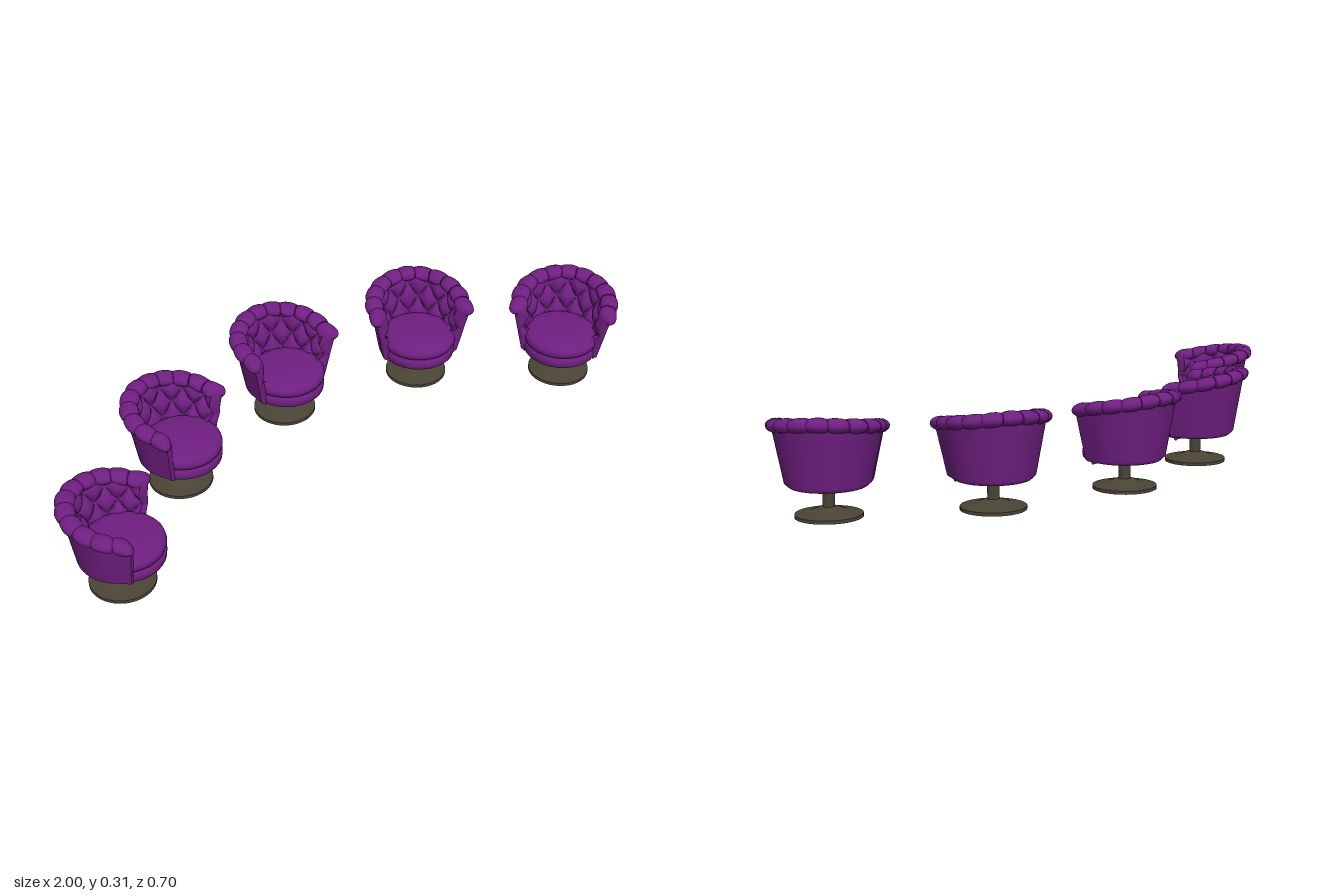
import * as THREE from 'three';
import { ParametricGeometry } from 'three/addons/geometries/ParametricGeometry.js';

const PHI = THREE.MathUtils.degToRad(112); // half sweep of the tub, measured from the back
const lerp = THREE.MathUtils.lerp;

// Point on the tub plan: the arms straighten out towards the front
function place(target, phi, r, y) {
  const over = Math.max(0, Math.abs(phi) - Math.PI / 2) / 0.384;
  const k = 1 + 0.07 * over * over;
  target.set(r * k * Math.sin(phi), y, -r * k * Math.cos(phi));
}

const rimY = (phi) => 0.285 - 0.037 * Math.pow(Math.abs(phi) / PHI, 1.5);

// Radii of the outer wall and of the inner wall before tufting, v = 0 bottom to 1 rim
const outerR = (v) => 0.12 + 0.033 * v - 0.01 * Math.pow(Math.max(0, 1 - v / 0.06), 2);
const innerR = (v) => lerp(0.108, 0.13, v);

// Diamond tufting pattern, 0 in the creases and 1 on the cushions
function tuft(phi, v) {
  const p = (phi / PHI) * Math.PI * 3.5, q = v * Math.PI * 1.75;
  return Math.pow(Math.abs(Math.cos(p + q) * Math.cos(p - q)), 0.5);
}

function outerWall() {
  return new ParametricGeometry((u, v, t) => {
    const phi = lerp(PHI, -PHI, u);
    place(t, phi, outerR(v), lerp(0.09, rimY(phi), v));
  }, 48, 16);
}

function tuftedWall() {
  return new ParametricGeometry((u, v, t) => {
    const phi = lerp(-PHI, PHI, u);
    place(t, phi, innerR(v) - 0.02 * tuft(phi, v), lerp(0.11, rimY(phi), v));
  }, 112, 32);
}

// Padded front face of one arm
function armFront(side) {
  return new ParametricGeometry((u, v, t) => {
    const w = side > 0 ? u : 1 - u;
    const phi = side * PHI;
    const r = lerp(innerR(v) - 0.02 * tuft(phi, v), outerR(v), w);
    place(t, phi + side * 0.07 * Math.sin(Math.PI * w), r, lerp(0.09, rimY(phi), v));
  }, 8, 20);
}

// Scalloped roll along the top edge
function rimRoll() {
  const end = PHI + 0.07, lobes = 11;
  return new ParametricGeometry((u, v, t) => {
    const phi = lerp(end, -end, u), a = v * Math.PI * 2;
    const w = Math.min(1, Math.min(u, 1 - u) / 0.035);
    const cap = Math.max(0.02, Math.sqrt(1 - (1 - w) * (1 - w)));
    const lobe = 0.8 + 0.2 * Math.pow(Math.abs(Math.sin(u * lobes * Math.PI)), 0.6);
    const s = cap * (w < 1 ? Math.max(lobe, 0.93) : lobe);
    place(t, phi, 0.14 + 0.029 * s * Math.cos(a), rimY(phi) + 0.021 * s * Math.sin(a));
  }, 154, 16);
}

function lathe(points, segments = 40) {
  return new THREE.LatheGeometry(points.map(([r, y]) => new THREE.Vector2(r, y)), segments);
}

function buildParts(purple, bronze) {
  const lever = new THREE.Vector3(0.1, 0.085, 0.037);
  const rod = new THREE.CylinderGeometry(0.0028, 0.0028, Math.hypot(lever.x, lever.z), 8);
  rod.rotateZ(Math.PI / 2);
  rod.rotateY(-Math.atan2(lever.z, lever.x));
  rod.translate(lever.x / 2, lever.y, lever.z / 2);
  const seatBase = lathe([[0, 0.086], [0.09, 0.087], [0.108, 0.09], [0.115, 0.096], [0.117, 0.11], [0.115, 0.122], [0.108, 0.127], [0, 0.127]]);
  const cushion = lathe([[0, 0.124], [0.105, 0.125], [0.114, 0.131], [0.118, 0.143], [0.115, 0.155], [0.106, 0.162], [0.08, 0.167], [0.04, 0.17], [0, 0.171]]);
  for (const g of [seatBase, cushion]) g.translate(0, 0, 0.013);
  return [
    // Upholstery
    ['outerShell', outerWall(), purple],
    ['tuftedBack', tuftedWall(), purple],
    ['leftArmFront', armFront(1), purple],
    ['rightArmFront', armFront(-1), purple],
    ['rimRoll', rimRoll(), purple],
    ['seatBase', seatBase, purple],
    ['seatCushion', cushion, purple],
    // Pedestal
    ['footDisc', new THREE.CylinderGeometry(0.096, 0.096, 0.01, 40).translate(0, 0.005, 0), bronze],
    ['footBell', lathe([[0.094, 0.01], [0.072, 0.0135], [0.05, 0.019], [0.033, 0.026], [0.022, 0.03], [0, 0.03]]), bronze],
    ['post', new THREE.CylinderGeometry(0.0175, 0.0175, 0.062, 24).translate(0, 0.059, 0), bronze],
    // Height lever
    ['leverRod', rod, bronze],
    ['leverKnob', new THREE.SphereGeometry(0.0048, 12, 8).translate(lever.x, lever.y, lever.z), bronze],
  ];
}

export function createModel() {
  const purple = new THREE.MeshStandardMaterial({ color: 0x701f82, side: THREE.DoubleSide });
  purple.name = 'purple upholstery';
  const bronze = new THREE.MeshStandardMaterial({ color: 0x4a4436 });
  bronze.name = 'dark bronze';

  const parts = buildParts(purple, bronze);
  const model = new THREE.Group();
  model.name = 'chairArc';

  // Five chairs in an arc, each turned towards the middle: x, z, turn in degrees
  const spots = [[-0.83, 0.187, 49], [-0.455, -0.085, 24], [0, -0.182, 0], [0.455, -0.085, -24], [0.83, 0.187, -49]];
  spots.forEach(([x, z, turn], i) => {
    const chair = new THREE.Group();
    chair.name = `tubChair${i + 1}`;
    for (const [name, geometry, material] of parts) {
      const mesh = new THREE.Mesh(geometry, material);
      mesh.name = name;
      chair.add(mesh);
    }
    chair.position.set(x, 0, z);
    chair.rotation.y = THREE.MathUtils.degToRad(turn);
    model.add(chair);
  });
  return model;
}
